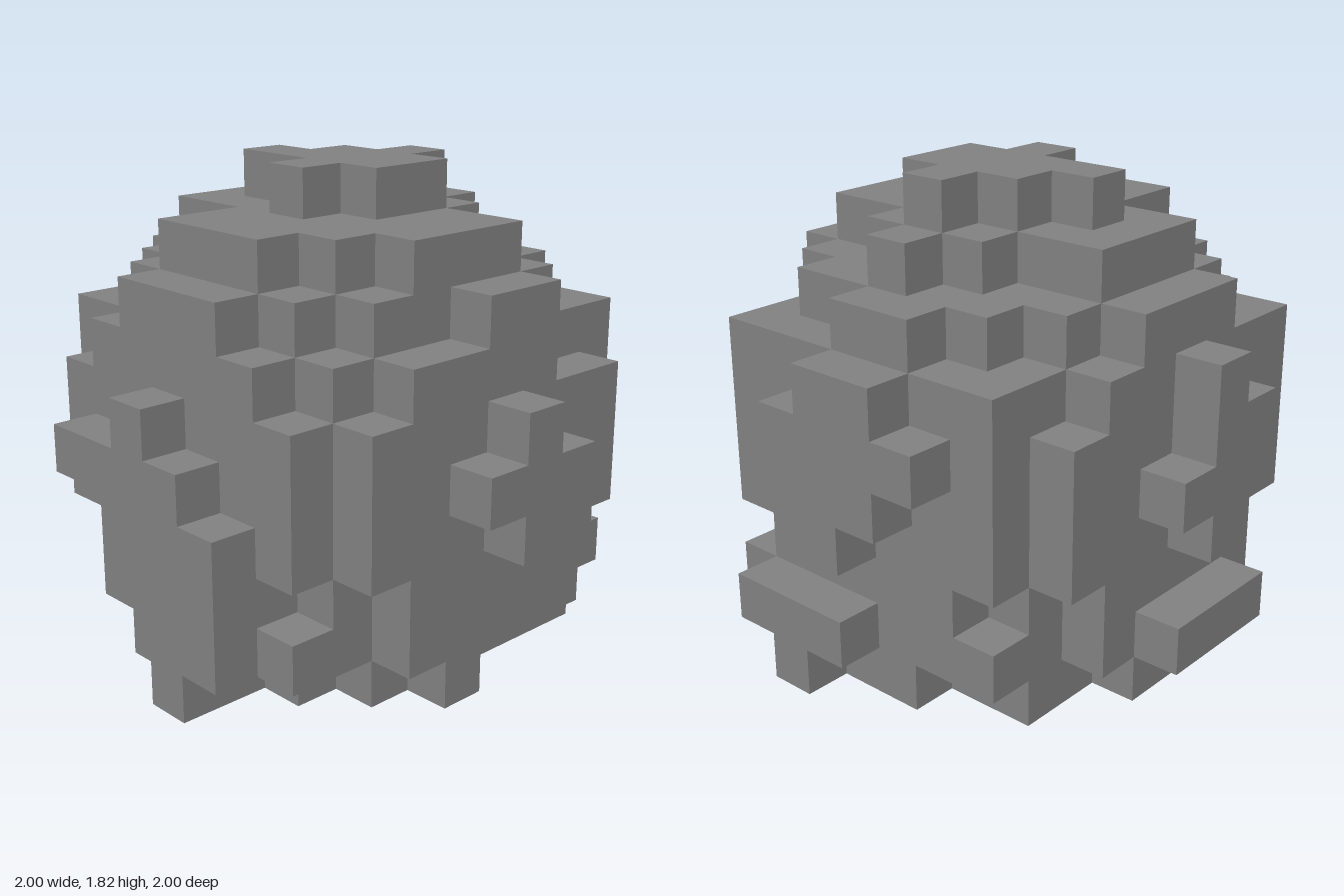
import * as THREE from 'three';
import { mergeGeometries } from 'three/addons/utils/BufferGeometryUtils.js';

const N = 11, H = 10, S = 2 / N;
const key = (i, j, k) => i + ',' + j + ',' + k;

// Blocks standing out of the round body: [column i, row j, layer k]
const bumps = [
  [6, 3, 10],                                                   // front
  [10, 6, 4], [10, 6, 5], [10, 5, 3], [10, 5, 4], [10, 5, 6],   // +x side
  [10, 1, 5], [10, 1, 6], [10, 1, 7], [10, 0, 6],
  [9, 6, 8], [9, 6, 2], [9, 1, 8], [9, 1, 2], [9, 0, 7],
  [5, 6, 0], [4, 5, 0], [4, 1, 0], [5, 1, 0], [6, 1, 0], [2, 6, 1], // back
  [0, 4, 3], [0, 3, 6], [0, 2, 6], [0, 1, 6], [0, 0, 6],        // -x side
  [0, 3, 7], [0, 2, 7], [0, 1, 7], [1, 1, 8],
  [8, 0, 8], [8, 0, 2],                                         // base corners
  [7, 9, 5], [6, 9, 4], [6, 9, 6], [5, 9, 3],                   // top
];

// Blocks chipped away from the round body
const chips = [
  [7, 6, 9], [4, 7, 9], [5, 0, 9], [6, 0, 9], [9, 7, 6],
  [7, 8, 7], [8, 8, 6], [8, 8, 4], [3, 8, 3], [7, 8, 3],
];

// Round body, a little flattened towards the base
function buildCells() {
  const cells = new Map();
  for (let i = 0; i < N; i++)
    for (let j = 0; j < H; j++)
      for (let k = 0; k < N; k++) {
        const dx = i - 5, dz = k - 5, dy = j < 4 ? 0.75 * (j - 4) : j - 4;
        if (dx * dx + dy * dy + dz * dz <= 26) cells.set(key(i, j, k), [i, j, k]);
      }
  bumps.forEach(c => cells.set(key(...c), c));
  chips.forEach(c => cells.delete(key(...c)));
  return cells;
}

export function createModel() {
  const cells = buildCells();

  // One square for each direction, facing outwards
  const sides = [
    [0, 0, 1, 0, 0], [0, 0, -1, 0, Math.PI],
    [1, 0, 0, 0, Math.PI / 2], [-1, 0, 0, 0, -Math.PI / 2],
    [0, 1, 0, -Math.PI / 2, 0], [0, -1, 0, Math.PI / 2, 0],
  ].map(([x, y, z, rx, ry]) => ({
    x, y, z,
    square: new THREE.PlaneGeometry(S, S).rotateX(rx).rotateY(ry)
      .translate(x * S / 2, y * S / 2, z * S / 2),
  }));

  // Keep only the squares that are exposed
  const faces = [];
  for (const [i, j, k] of cells.values())
    for (const { x, y, z, square } of sides)
      if (!cells.has(key(i + x, j + y, k + z)))
        faces.push(square.clone().translate((i - 5) * S, (j + 0.5) * S, (k - 5) * S));

  const stone = new THREE.MeshStandardMaterial({ color: 0x808080 });
  stone.name = 'stone grey';
  const boulder = new THREE.Mesh(mergeGeometries(faces), stone);
  boulder.name = 'boulder';

  const group = new THREE.Group();
  group.name = 'blockBoulder';
  group.add(boulder);
  return group;
}
